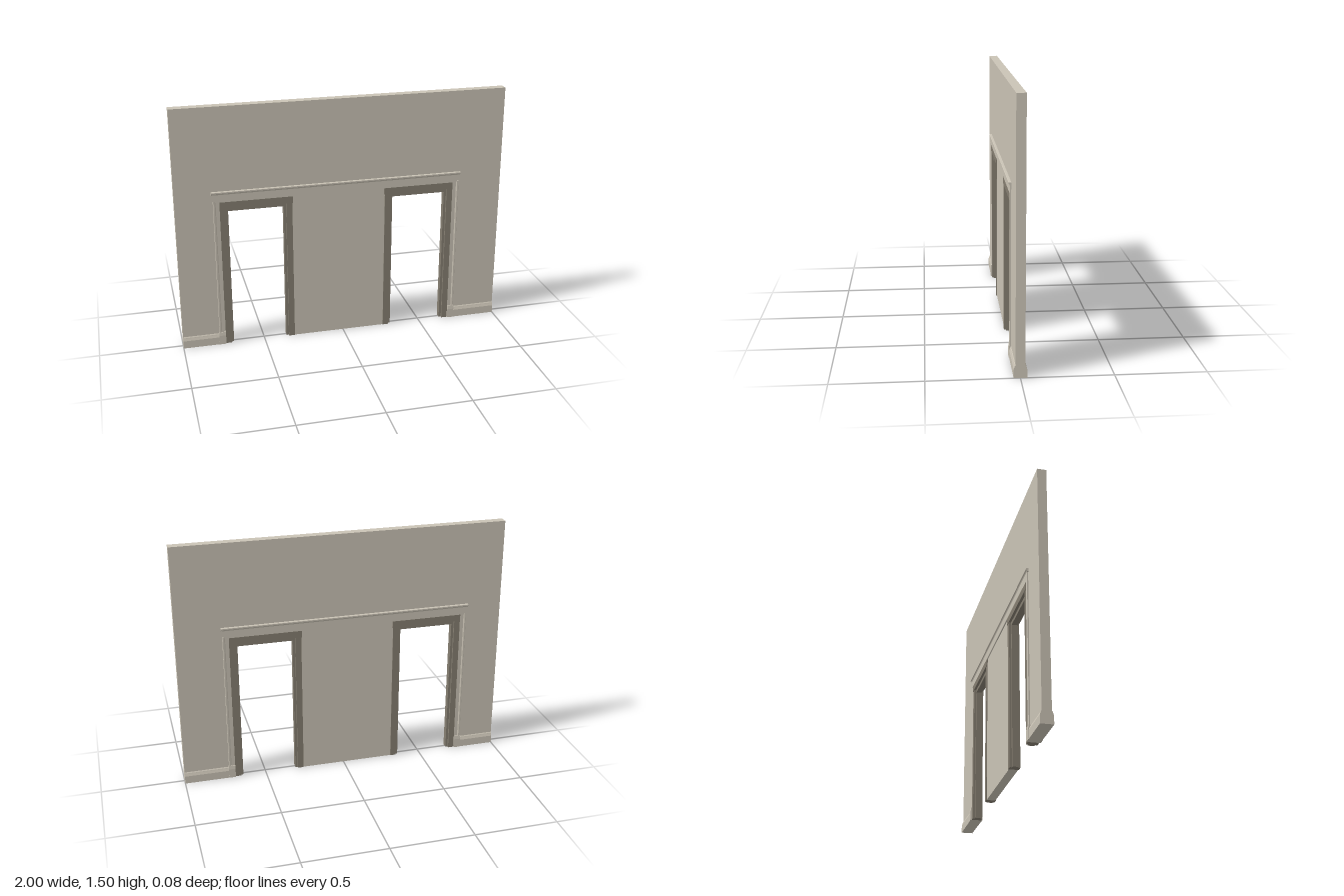
import * as THREE from 'three';

// Closed shape from a half profile of [half depth, height] points, mirrored front to back
function mirroredShape(half) {
  const front = half.map(([d, h]) => new THREE.Vector2(d, h));
  const back = half.map(([d, h]) => new THREE.Vector2(-d, h)).reverse();
  return new THREE.Shape([...front, ...back]);
}

// Moulding running along x with the same profile on both faces of the wall
function moulding(half, x0, x1) {
  const g = new THREE.ExtrudeGeometry(mirroredShape(half), { depth: x1 - x0, bevelEnabled: false });
  g.rotateY(Math.PI / 2);
  g.translate(x0, 0, 0);
  return g;
}

export function createModel() {
  const root = new THREE.Group();
  root.name = 'wallWithTwoDoorways';
  const plaster = new THREE.MeshStandardMaterial({ color: 0xcac3b5 });
  plaster.name = 'warm plaster';
  const frameMat = new THREE.MeshStandardMaterial({ color: 0x857e71 });
  frameMat.name = 'taupe frame';

  const add = (parent, name, geometry, material) => {
    const m = new THREE.Mesh(geometry, material);
    m.name = name;
    parent.add(m);
    return m;
  };
  const block = (parent, name, x0, x1, y0, y1, halfDepth, material) => {
    const m = add(parent, name, new THREE.BoxGeometry(x1 - x0, y1 - y0, 2 * halfDepth), material);
    m.position.set((x0 + x1) / 2, (y0 + y1) / 2, 0);
  };

  const T = 0.026;                 // half wall thickness
  const L = -0.74, R = 0.69;       // outer limits of the doorways
  const innerL = -0.31, innerR = 0.26;
  const doorTop = 0.927;

  // Wall with two doorways cut up from the floor
  const wall = new THREE.Shape([
    [-1, 0], [L, 0], [L, doorTop], [innerL, doorTop], [innerL, 0],
    [innerR, 0], [innerR, doorTop], [R, doorTop], [R, 0], [1, 0], [1, 1.5], [-1, 1.5],
  ].map(([x, y]) => new THREE.Vector2(x, y)));
  const wallGeo = new THREE.ExtrudeGeometry(wall, { depth: 2 * T, bevelEnabled: false });
  wallGeo.translate(0, 0, -T);
  add(root, 'wall', wallGeo, plaster);

  // Doorway frames: jambs, head and a recessed stop; the head overlaps the middle wall
  const face = 0.036, stop = 0.014, headY = 0.886, stopY = 0.864;
  for (const [name, a, b, lapL, lapR] of [
    ['rightDoorFrame', L, innerL, 0, 0.004],
    ['leftDoorFrame', innerR, R, 0.004, 0],
  ]) {
    const frame = new THREE.Group();
    frame.name = name;
    root.add(frame);
    block(frame, 'jamb', a, a + face, 0, headY, 0.03, frameMat);
    block(frame, 'jamb', b - face, b, 0, headY, 0.03, frameMat);
    block(frame, 'head', a - lapL, b + lapR, headY, doorTop, 0.033, frameMat);
    block(frame, 'stop', a + face, a + face + stop, 0, headY, 0.018, frameMat);
    block(frame, 'stop', b - face - stop, b - face, 0, headY, 0.018, frameMat);
    block(frame, 'headStop', a + face + stop, b - face - stop, stopY, headY, 0.018, frameMat);
  }

  // Side casings with a raised outer band, mirrored about the middle of the trim
  for (const side of [-1, 1]) {
    const edge = side < 0 ? L : R;
    const plan = [
      [0, 0.03], [0.022, 0.03], [0.028, 0.035], [0.036, 0.035], [0.038, 0.033],
    ];
    const pts = [...plan, ...plan.map(([x, z]) => [x, -z]).reverse()]
      .map(([x, z]) => new THREE.Vector2(edge + side * x, z));
    const casing = new THREE.ExtrudeGeometry(new THREE.Shape(pts), { depth: 0.88, bevelEnabled: false });
    casing.rotateX(-Math.PI / 2);
    casing.translate(0, 0.055, 0);
    add(root, 'sideCasing', casing, plaster);

    // Plinth block with a sloped top
    const x0 = Math.min(edge, edge + side * 0.041), x1 = Math.max(edge, edge + side * 0.041);
    add(root, 'plinthBlock',
      moulding([[0.038, 0], [0.038, 0.058], [0.035, 0.08]], x0, x1), plaster);

    // Baseboard with a sloped, stepped top
    const b0 = side < 0 ? -1 : x1, b1 = side < 0 ? x0 : 1;
    add(root, 'baseboard',
      moulding([[0.036, 0], [0.036, 0.048], [0.031, 0.062], [0.03, 0.066], [T, 0.072]], b0, b1), plaster);
  }

  // Long header board and its projecting cap
  add(root, 'header',
    moulding([[0.033, doorTop], [0.033, 0.975]], L - 0.038, R + 0.038), plaster);
  add(root, 'headerCap',
    moulding([[0.033, 0.974], [0.036, 0.98], [0.041, 0.984], [0.041, 0.991], [0.039, 0.993]],
      L - 0.047, R + 0.045), plaster);

  return root;
}
